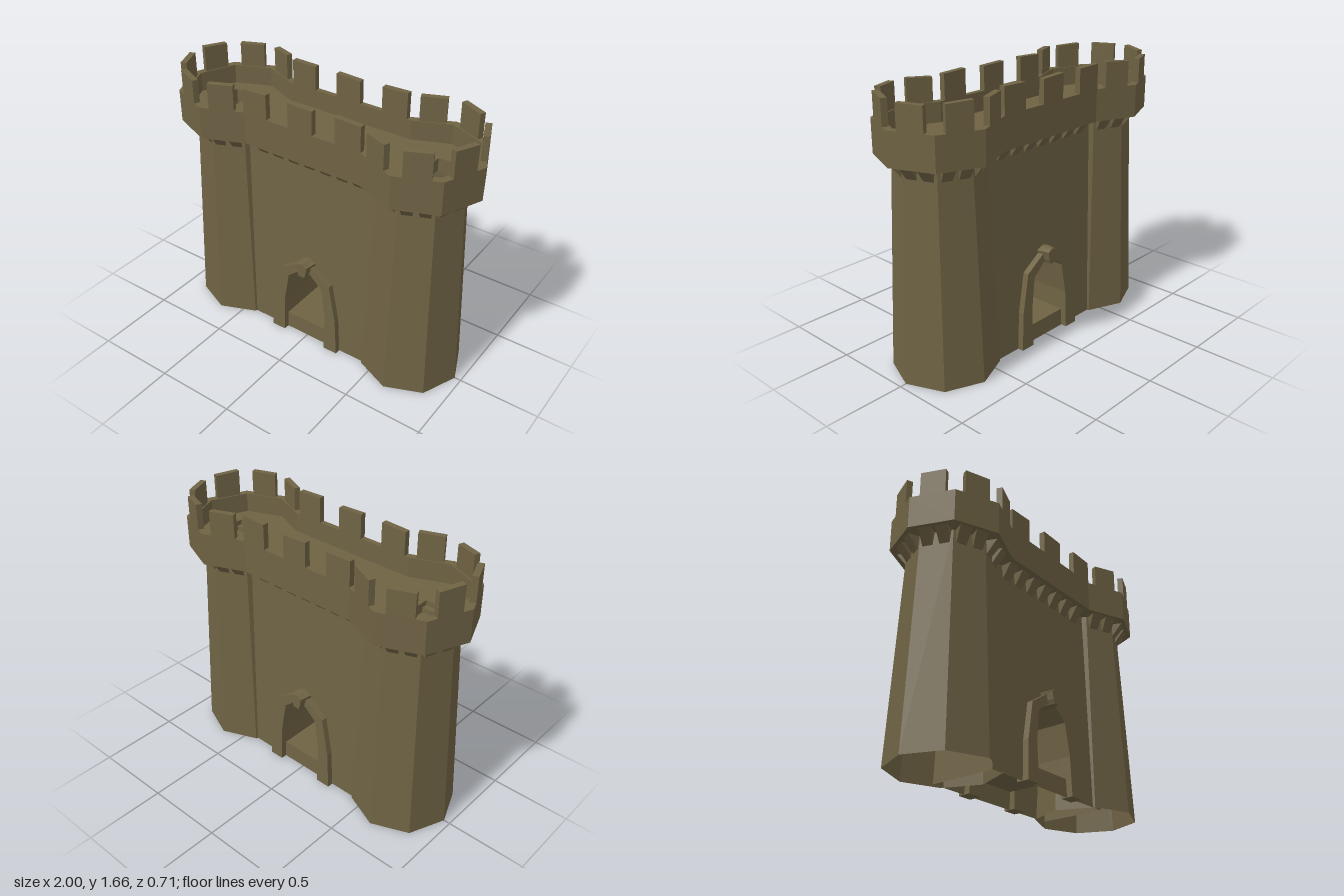
import * as THREE from 'three';

const TOWER_X = 0.645;
const FLOOR_Y = 1.38;
const stone = new THREE.MeshStandardMaterial({ color: 0x6f6344, flatShading: true, side: THREE.DoubleSide });
stone.name = 'stone';

function add(parent, name, geometry, x = 0, y = 0, z = 0, turn = 0) {
  const mesh = new THREE.Mesh(geometry, stone);
  mesh.name = name;
  mesh.position.set(x, y, z);
  mesh.rotation.y = turn;
  parent.add(mesh);
  return mesh;
}

const toShape = (pts) => new THREE.Shape(pts.map(([x, y]) => new THREE.Vector2(x, y)));
const extrude = (shape, depth) => new THREE.ExtrudeGeometry(shape, { depth, bevelEnabled: false });
const mirrored = (half) => [...half, ...half.map(([x, y]) => [-x, y]).reverse()];

// Move each vertex by a rule that returns its new [x, y, z]
function remap(geometry, rule) {
  const p = geometry.attributes.position;
  for (let i = 0; i < p.count; i++) p.setXYZ(i, ...rule(p.getX(i), p.getY(i), p.getZ(i)));
  geometry.computeVertexNormals();
  return geometry;
}

// Plan of two octagonal towers joined by a straight gatehouse, as [x, z]
function plan(r) {
  const pts = [];
  for (const [cx, start] of [[TOWER_X, -135], [-TOWER_X, 45]]) {
    for (let k = 0; k < 7; k++) {
      const a = THREE.MathUtils.degToRad(start + 45 * k);
      pts.push([cx + r * Math.cos(a), r * Math.sin(a)]);
    }
  }
  return pts;
}

// Calls back for each plan edge with a placing function: (along, outward) -> [x, z]
function eachEdge(pts, callback) {
  pts.forEach(([x0, z0], i) => {
    const [x1, z1] = pts[(i + 1) % pts.length];
    const len = Math.hypot(x1 - x0, z1 - z0);
    const dx = (x1 - x0) / len, dz = (z1 - z0) / len;
    const place = (along, out) => [
      (x0 + x1) / 2 + dx * along + dz * out,
      (z0 + z1) / 2 + dz * along - dx * out,
    ];
    callback(place, Math.atan2(dz, -dx), i % 7 === 6, len);
  });
}

export function createModel() {
  const model = new THREE.Group();
  model.name = 'gatehouse';

  // Tapered towers, open underneath
  for (const side of [-1, 1]) {
    const g = new THREE.CylinderGeometry(0.257, 0.315, 1.3, 8, 1, true);
    g.rotateY(Math.PI / 2);
    add(model, side > 0 ? 'leftTower' : 'rightTower', g, side * TOWER_X, 0.65, 0);
  }

  // Sloping gate wall with an arched passage, hollow underneath
  const archIn = [[0.155, 0.24], [0.125, 0.44], [0.035, 0.515]];
  const wall = toShape([[-0.5, 0], [0.5, 0], [0.5, 1.3], [-0.5, 1.3]]);
  wall.holes.push(toShape(mirrored([[0.155, 0.11], ...archIn])));
  const wallZ = (y) => 0.21 - 0.045 * y;
  const wallGeo = remap(extrude(wall, 1).toNonIndexed(),
    (x, y, z) => [x, y, (z > 0.5 ? 1 : -1) * wallZ(y)]);
  const src = wallGeo.attributes.position.array;
  const kept = [];
  for (let i = 0; i < src.length; i += 9) {
    if (Math.max(src[i + 1], src[i + 4], src[i + 7]) > 0.001) kept.push(...src.subarray(i, i + 9));
  }
  const shell = new THREE.BufferGeometry();
  shell.setAttribute('position', new THREE.Float32BufferAttribute(kept, 3));
  shell.computeVertexNormals();
  add(model, 'gateWall', shell);

  // Arch surrounds and keystones on both faces
  const archOut = [[0.25, 0], [0.232, 0.24], [0.18, 0.48], [0.045, 0.565]];
  const archPts = [...mirrored(archOut), ...mirrored([[0.155, 0], ...archIn]).reverse()];
  const surround = remap(extrude(toShape(archPts), 1),
    (x, y, z) => [x, y, z > 0.5 ? wallZ(y) + 0.038 : 0.17]);
  const keyPts = mirrored([[0.028, 0.505], [0.042, 0.53], [0.055, 0.583], [0.012, 0.6]]);
  const keystone = remap(extrude(toShape(keyPts), 1),
    (x, y, z) => (z > 0.5 ? [x * 0.7, y, 0.262] : [x, y, 0.17]));
  for (const turn of [0, Math.PI]) {
    add(model, 'archSurround', surround, 0, 0, 0, turn);
    add(model, 'keystone', keystone, 0, 0, 0, turn);
  }

  // Parapet ring
  const outer = plan(0.355);
  const ring = toShape(outer);
  ring.holes.push(toShape(plan(0.308)));
  add(model, 'parapet', extrude(ring, 0.2).rotateX(-Math.PI / 2), 0, 1.3, 0);

  // Roof floor with two stairwells
  const floor = toShape(plan(0.309));
  const wells = [{ x: -0.728, z: -0.15 }, { x: 0.73, z: -0.13 }];
  for (const { x, z } of wells) {
    floor.holes.push(toShape([[x - 0.07, -z], [x - 0.07, -z - 0.23], [x + 0.07, -z - 0.23], [x + 0.07, -z]]));
  }
  add(model, 'roofFloor', extrude(floor, FLOOR_Y - 1.3).rotateX(-Math.PI / 2), 0, 1.3, 0);

  // Steps climbing towards the front
  for (const { x, z } of wells) {
    for (let k = 0; k < 6; k++) {
      const depth = k ? 0.034 : 0.06;
      const start = k ? 0.06 + (k - 1) * 0.034 : 0;
      add(model, 'step', new THREE.BoxGeometry(0.14, 0.03, depth),
        x, FLOOR_Y - 0.015 - 0.03 * (6 - k), z + start + depth / 2);
    }
  }

  // Merlons with slightly uneven tops
  let n = 0;
  eachEdge(outer, (place, turn, straight) => {
    for (const along of straight ? [-0.315, 0, 0.315] : [0]) {
      const w = straight ? 0.165 : 0.152;
      const h = 0.151 + 0.005 * Math.sin(n * 2.3);
      const tilt = 0.05 * Math.sin(n * 1.7);
      const g = remap(new THREE.BoxGeometry(w, h, 0.036),
        (x, y, z) => [x, y > 0 ? y + x * tilt : y, z]);
      const [x, z] = place(along, -0.018);
      add(model, 'merlon', g, x, 1.5 + h / 2, z, turn);
      n++;
    }
  });

  // Wedge corbels under the parapet, narrowing downwards
  const wedge = toShape([[-0.03, 1.22], [0.003, 1.22], [0.065, 1.302], [-0.03, 1.302]]);
  const corbel = remap(extrude(wedge, 0.074).translate(0, 0, -0.037).rotateY(-Math.PI / 2),
    (x, y, z) => [y < 1.25 ? x * 0.8 : x, y, z]);
  eachEdge(plan(0.26), (place, turn, straight, len) => {
    const spots = straight
      ? [-3, -2, -1, 0, 1, 2, 3].map((k) => k * 0.112)
      : [-len / 4, len / 4];
    for (const along of spots) {
      const [x, z] = place(along, straight ? -0.026 : 0);
      add(model, 'corbel', corbel, x, 0, z, turn);
    }
  });

  return model;
}
